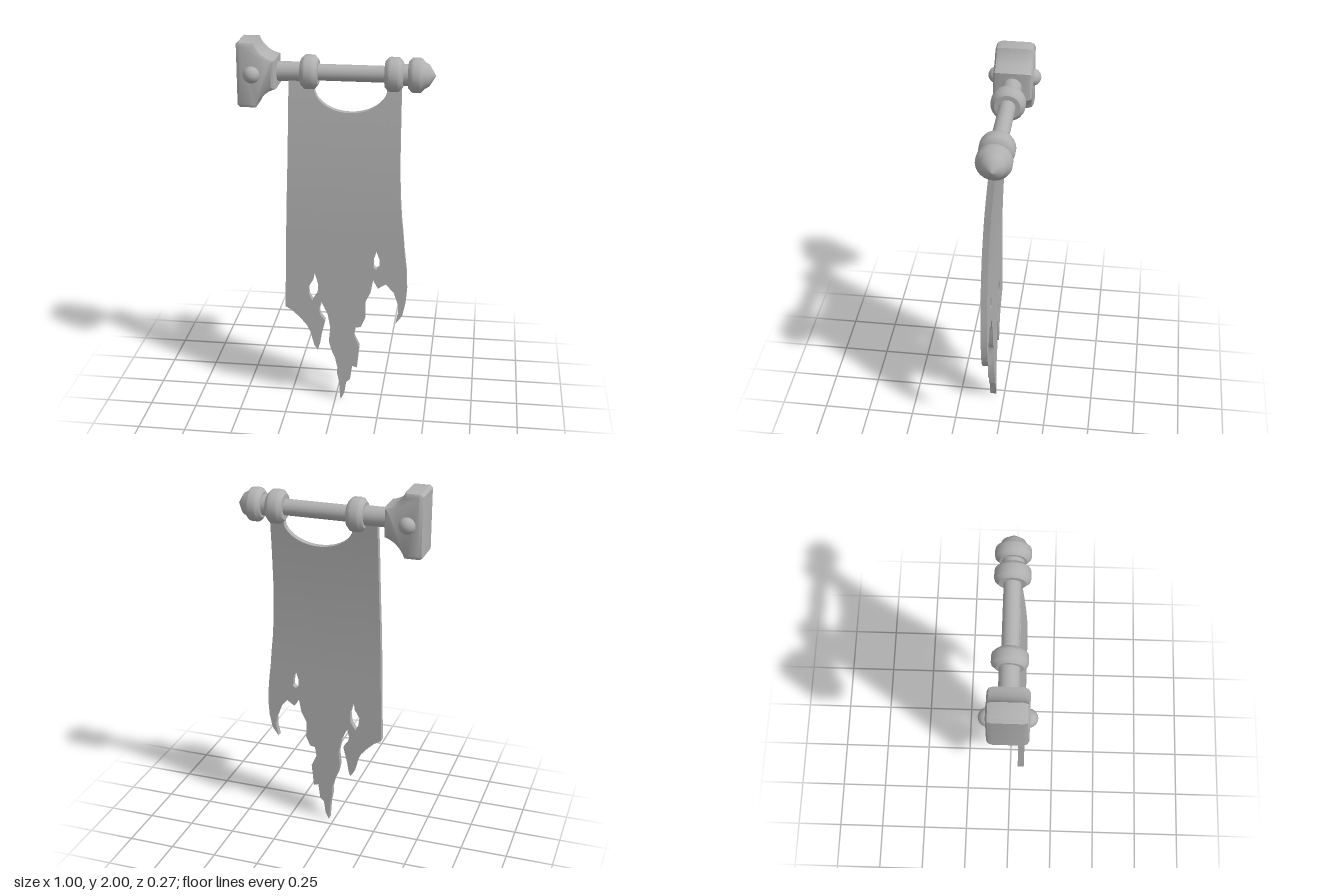
import * as THREE from 'three';
import { toCreasedNormals } from 'three/addons/utils/BufferGeometryUtils.js';

const AXIS_Y = 1.836;   // height of the pole
const THICK = 0.034;    // cloth thickness
const SEAM = 0.92;      // where the hanging cloth meets its torn hem
const LOW_Z = 0.063;    // depth of the hem

const points = list => list.map(([x, y]) => new THREE.Vector2(x, y));

// Linear lookup in a short [y, value] table with rising y
function lookup(table, y) {
  for (let i = 1; i < table.length; i++) {
    const [y0, a] = table[i - 1], [y1, b] = table[i];
    if (y <= y1) return THREE.MathUtils.lerp(a, b, Math.max(0, (y - y0) / (y1 - y0)));
  }
  return table[table.length - 1][1];
}

// Wall bracket: flared plate with hollow shoulders, bevelled all round
function bracketGeometry() {
  const s = new THREE.Shape();
  s.moveTo(-0.5, 1.675);
  s.lineTo(-0.485, 1.66);
  s.lineTo(-0.405, 1.66);
  s.quadraticCurveTo(-0.375, 1.74, -0.3, 1.76);
  s.lineTo(-0.3, 1.912);
  s.quadraticCurveTo(-0.375, 1.925, -0.405, 2);
  s.lineTo(-0.485, 2);
  s.lineTo(-0.5, 1.985);
  const geo = new THREE.ExtrudeGeometry(s, {
    depth: 0.14, curveSegments: 8, bevelSegments: 2,
    bevelThickness: 0.03, bevelSize: 0.02, bevelOffset: -0.02,
  });
  geo.translate(0, 0, -0.07);
  return toCreasedNormals(geo, 0.6);
}

// Pole with its collars and pointed finial, turned about x
function poleGeometry() {
  const collar = (a, b) => [[0.066, a], [0.086, a + 0.018], [0.088, a + 0.026],
    [0.088, b - 0.026], [0.086, b - 0.018], [0.066, b]];
  const profile = [
    [0, -0.36], [0.05, -0.36], [0.05, -0.182],
    ...collar(-0.182, -0.094),
    [0.042, -0.094], [0.042, 0.245],
    ...collar(0.245, 0.335),
    [0.054, 0.338], [0.054, 0.362],
    ...collar(0.362, 0.445),
    [0.064, 0.45], [0.055, 0.466], [0, 0.5],
  ];
  const geo = new THREE.LatheGeometry(points(profile), 24);
  geo.rotateZ(-Math.PI / 2);
  geo.translate(0, AXIS_Y, 0);
  return toCreasedNormals(geo, 0.7);
}

// Upper cloth: a slab bent along its height, scooped between the collars
function clothGeometry() {
  const left = [[SEAM, -0.261], [1.2, -0.254], [1.4, -0.248], [1.8, -0.243]];
  const right = [[SEAM, 0.365], [1, 0.358], [1.1, 0.347], [1.2, 0.34], [1.35, 0.333], [1.8, 0.33]];
  const geo = new THREE.BoxGeometry(1, 1, THICK, 60, 20, 1);
  const p = geo.attributes.position;
  for (let i = 0; i < p.count; i++) {
    const u = p.getX(i) + 0.5, v = p.getY(i) + 0.5;
    const t = (THREE.MathUtils.lerp(-0.243, 0.33, u) - 0.073) / 0.19;
    const top = Math.abs(t) < 1 ? 1.775 - 0.135 * Math.sqrt(1 - t * t) : 1.8;
    const y = THREE.MathUtils.lerp(SEAM, top, v);
    const x = THREE.MathUtils.lerp(lookup(left, y), lookup(right, y), u);
    const bend = 0.053 * ((y - SEAM) / (1.8 - SEAM)) ** 2;
    p.setXYZ(i, x, y, p.getZ(i) + LOW_Z - bend);
  }
  geo.computeVertexNormals();
  return geo;
}

// Torn hem: ragged tails with two rips
function hemGeometry() {
  const shape = new THREE.Shape(points([
    [-0.261, SEAM], [-0.265, 0.75], [-0.27, 0.555],
    // left tail
    [-0.23, 0.53], [-0.188, 0.49], [-0.155, 0.45], [-0.135, 0.41], [-0.114, 0.33], [-0.095, 0.302],
    [-0.086, 0.33], [-0.077, 0.386], [-0.054, 0.48], [-0.08, 0.515], [-0.088, 0.545], [-0.075, 0.595],
    // middle tail
    [-0.04, 0.52], [-0.026, 0.44], [-0.034, 0.36], [-0.022, 0.31], [-0.001, 0.26], [0.013, 0.2],
    [0.01, 0.17], [0.022, 0.11], [0.03, 0], [0.05, 0.04], [0.06, 0.11], [0.082, 0.13],
    [0.093, 0.215], [0.119, 0.206], [0.132, 0.333], [0.103, 0.397], [0.112, 0.45],
    [0.14, 0.455], [0.163, 0.508], [0.16, 0.598], [0.19, 0.66], [0.204, 0.735],
    // right tail
    [0.23, 0.688], [0.272, 0.716], [0.315, 0.667], [0.339, 0.598], [0.341, 0.55], [0.327, 0.487],
    [0.362, 0.534], [0.378, 0.61], [0.384, 0.69], [0.379, 0.8], [0.365, SEAM],
  ]));
  shape.holes.push(
    new THREE.Path(points([[-0.112, 0.767], [-0.118, 0.72], [-0.145, 0.675], [-0.14, 0.63],
      [-0.122, 0.597], [-0.095, 0.64], [-0.09, 0.69], [-0.1, 0.73]])),
    new THREE.Path(points([[0.22, 0.9], [0.204, 0.85], [0.204, 0.81], [0.22, 0.798],
      [0.238, 0.81], [0.235, 0.86]])),
  );
  const geo = new THREE.ExtrudeGeometry(shape, { depth: THICK, bevelEnabled: false });
  geo.translate(0, 0, LOW_Z - THICK / 2);
  return toCreasedNormals(geo, 0.7);
}

export function createModel() {
  const group = new THREE.Group();
  const grey = new THREE.MeshStandardMaterial({ color: 0xb0b0b0 });
  grey.name = 'plain grey';

  const add = (name, geometry) => {
    const mesh = new THREE.Mesh(geometry, grey);
    mesh.name = name;
    group.add(mesh);
    return mesh;
  };

  add('wallBracket', bracketGeometry());
  add('pole', poleGeometry());
  add('bannerCloth', clothGeometry());
  add('tornHem', hemGeometry());

  // Round studs on both sides of the bracket
  const stud = new THREE.SphereGeometry(0.044, 20, 14);
  for (const [name, side] of [['frontStud', 1], ['backStud', -1]]) {
    add(name, stud).position.set(-0.42, AXIS_Y, side * 0.093);
  }
  return group;
}
